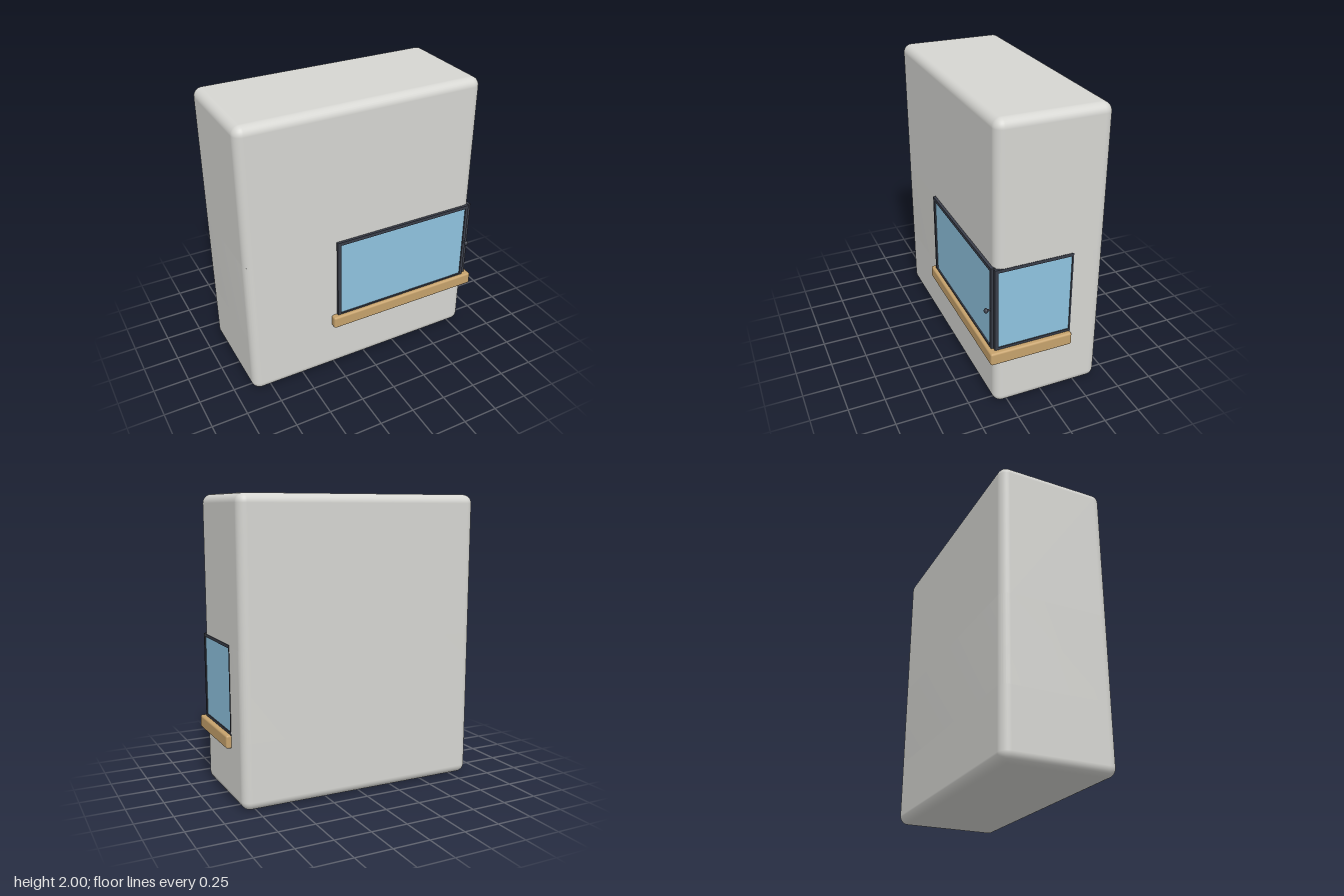
import * as THREE from 'three';
import { toCreasedNormals } from 'three/addons/utils/BufferGeometryUtils.js';
import { RoundedBoxGeometry } from 'three/addons/geometries/RoundedBoxGeometry.js';

const X0 = -0.88, X1 = 0.84, Z0 = -0.41, Z1 = 0.345, R = 0.06;

function material(name, color) {
  const m = new THREE.MeshStandardMaterial({ color });
  m.name = name;
  return m;
}

// Rounded-corner block from stacked rings; one end is softly rounded, the other cut flat.
function blockGeometry(yRound, yFlat) {
  const up = yRound > yFlat ? 1 : -1, steps = 8;
  const corners = [[X1 - R, Z1 - R], [X0 + R, Z1 - R], [X0 + R, Z0 + R], [X1 - R, Z0 + R]];
  const pos = [], nor = [], idx = [], rows = [];
  const ring = (y, phi, capNormal) => {
    rows.push(pos.length / 3);
    corners.forEach(([cx, cz], c) => {
      for (let i = 0; i <= steps; i++) {
        const a = (c + i / steps) * Math.PI / 2;
        const h = Math.cos(phi), dx = h * Math.cos(a), dz = h * Math.sin(a);
        pos.push(cx + R * dx, y, cz + R * dz);
        if (capNormal) nor.push(0, capNormal, 0);
        else nor.push(dx, Math.sin(phi) * up, dz);
      }
    });
  };
  const n = 4 * (steps + 1);
  const tri = (a, b, c) => (up > 0 ? idx.push(a, b, c) : idx.push(a, c, b));
  ring(yFlat, 0);
  for (let j = 0; j <= steps; j++) {
    const phi = j / steps * Math.PI / 2;
    ring(yRound - up * R * (1 - Math.sin(phi)), phi);
  }
  for (let r = 0; r + 1 < rows.length; r++) {
    for (let i = 0; i < n; i++) {
      const k = (i + 1) % n, a = rows[r], b = rows[r + 1];
      tri(a + i, b + i, a + k);
      tri(a + k, b + i, b + k);
    }
  }
  // end caps
  const cap = (y, phi, dir) => {
    ring(y, phi, dir);
    const base = rows[rows.length - 1], centre = pos.length / 3;
    pos.push((X0 + X1) / 2, y, (Z0 + Z1) / 2);
    nor.push(0, dir, 0);
    for (let i = 0; i < n; i++) {
      const a = base + i, b = base + (i + 1) % n;
      if (dir > 0) idx.push(centre, b, a);
      else idx.push(centre, a, b);
    }
  };
  cap(yRound, Math.PI / 2, up);
  cap(yFlat, 0, -up);
  const g = new THREE.BufferGeometry();
  g.setAttribute('position', new THREE.Float32BufferAttribute(pos, 3));
  g.setAttribute('normal', new THREE.Float32BufferAttribute(nor, 3));
  g.setIndex(idx);
  return g;
}

// L-shaped wall around the corner firebox
function wallGeometry(y0, y1, xCut, zCut) {
  const s = new THREE.Shape(), q = Math.PI / 2; // shape y is -z
  s.moveTo(X0 + R, -Z1);
  s.lineTo(xCut, -Z1);
  s.lineTo(xCut, -zCut);
  s.lineTo(X1, -zCut);
  s.lineTo(X1, -Z0 - R);
  s.absarc(X1 - R, -Z0 - R, R, 0, q, false);
  s.lineTo(X0 + R, -Z0);
  s.absarc(X0 + R, -Z0 - R, R, q, 2 * q, false);
  s.lineTo(X0, -Z1 + R);
  s.absarc(X0 + R, -Z1 + R, R, 2 * q, 3 * q, false);
  const g = new THREE.ExtrudeGeometry(s, { depth: y1 - y0, bevelEnabled: false, curveSegments: 8 });
  g.rotateX(-q).translate(0, y0, 0);
  return toCreasedNormals(g, 0.6);
}

export function createModel() {
  const model = new THREE.Group();
  model.name = 'cornerFireplace';
  const plaster = material('plaster', 0xd6d6d2);
  const glass = material('glass', 0x8fc3e0);
  const iron = material('darkMetal', 0x393d48);
  const wood = material('wood', 0xc6a26c);

  const add = (parent, name, geometry, mat) => {
    const m = new THREE.Mesh(geometry, mat);
    m.name = name;
    parent.add(m);
    return m;
  };
  const box = (parent, name, mat, x0, x1, y0, y1, z0, z1) =>
    add(parent, name, new THREE.BoxGeometry(x1 - x0, y1 - y0, z1 - z0), mat)
      .position.set((x0 + x1) / 2, (y0 + y1) / 2, (z0 + z1) / 2);

  // chimney breast
  const body = new THREE.Group();
  body.name = 'chimneyBody';
  model.add(body);
  add(body, 'lowerBody', blockGeometry(0, 0.45), plaster);
  add(body, 'middleWall', wallGeometry(0.45, 1.04, -0.215, -0.18), plaster);
  add(body, 'upperBody', blockGeometry(2, 1.04), plaster);

  // wooden ledge, also the firebox floor
  add(model, 'ledge', new RoundedBoxGeometry(1.15, 0.09, 0.577, 4, 0.014), wood)
    .position.set(0.3, 0.41, 0.1);

  // front door
  const door = new THREE.Group();
  door.name = 'frontDoor';
  model.add(door);
  box(door, 'doorTopRail', iron, -0.235, 0.815, 1.028, 1.052, 0.335, 0.364);
  box(door, 'doorBottomRail', iron, -0.235, 0.815, 0.445, 0.465, 0.335, 0.364);
  box(door, 'doorLeftStile', iron, -0.235, -0.209, 0.45, 1.05, 0.335, 0.364);
  box(door, 'doorRightStile', iron, 0.793, 0.815, 0.45, 1.05, 0.335, 0.364);
  box(door, 'doorGlass', glass, -0.212, 0.796, 0.46, 1.032, 0.347, 0.355);

  // side window
  const side = new THREE.Group();
  side.name = 'sideWindow';
  model.add(side);
  box(side, 'sideTopRail', iron, 0.82, 0.843, 1.028, 1.05, -0.188, 0.348);
  box(side, 'sideBottomRail', iron, 0.82, 0.843, 0.45, 0.472, -0.188, 0.348);
  box(side, 'sideFrontStile', iron, 0.82, 0.843, 0.45, 1.05, 0.326, 0.348);
  box(side, 'sideRearStile', iron, 0.82, 0.843, 0.45, 1.05, -0.188, -0.178);
  box(side, 'sideGlass', glass, 0.828, 0.836, 0.465, 1.032, -0.182, 0.33);

  // door knob
  const knob = new THREE.Group();
  knob.name = 'doorKnob';
  knob.position.set(0.804, 0.75, 0);
  door.add(knob);
  const stem = add(knob, 'knobStem', new THREE.CylinderGeometry(0.007, 0.007, 0.04, 16), iron);
  stem.rotation.x = Math.PI / 2;
  stem.position.z = 0.375;
  const ball = add(knob, 'knobBall', new THREE.SphereGeometry(0.017, 20, 14), iron);
  ball.scale.z = 0.8;
  ball.position.z = 0.393;
  return model;
}
